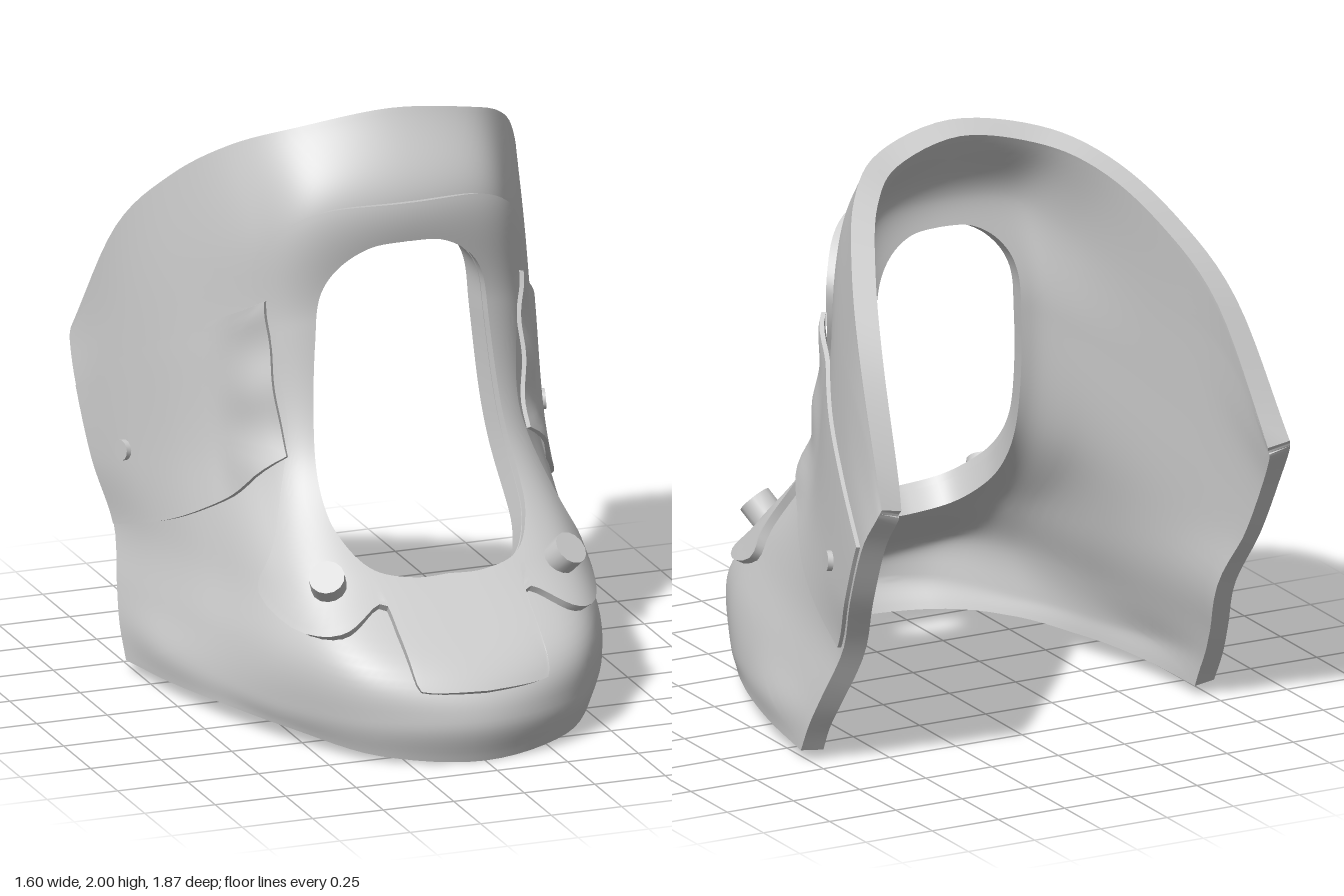
import * as THREE from 'three';
import { toCreasedNormals } from 'three/addons/utils/BufferGeometryUtils.js';

// Cross-sections of the collar from bottom edge to top edge,
// each running from the front centre line to the rear edge: [x, y, z]
const ROWS = [
  [[0, 0, .89], [.33, .02, .78], [.53, .05, .5], [.66, .06, .2], [.735, .05, -.1], [.78, .04, -.4]],
  [[0, .15, .93], [.36, .15, .8], [.57, .14, .47], [.68, .15, .15], [.75, .15, -.15], [.78, .15, -.46]],
  [[0, .3, .85], [.37, .32, .76], [.555, .32, .49], [.655, .3, .12], [.72, .28, -.22], [.765, .27, -.525]],
  [[0, .53, .53], [.36, .53, .5], [.52, .52, .34], [.62, .49, -.01], [.69, .47, -.33], [.74, .45, -.62]],
  [[0, .85, .2], [.34, .87, .18], [.5, .83, .02], [.62, .77, -.22], [.71, .7, -.48], [.775, .65, -.73]],
  [[0, 1.35, .1], [.32, 1.32, .08], [.48, 1.25, -.06], [.615, 1.15, -.3], [.715, 1.03, -.57], [.79, .87, -.84]],
  [[0, 1.72, .15], [.3, 1.7, .1], [.46, 1.6, -.06], [.6, 1.45, -.33], [.71, 1.25, -.61], [.78, .99, -.92]],
  [[0, 2, 0], [.3, 1.95, -.06], [.48, 1.86, -.22], [.61, 1.7, -.44], [.71, 1.46, -.68], [.77, 1.03, -.94]]
];

function cubic(a, b, c, d, t) {
  return b + .5 * t * (c - a + t * (2 * a - 5 * b + 4 * c - d + t * (3 * (b - c) + d - a)));
}

// Smooth interpolation of a list of points; the front end may be mirrored in x
function along(points, u, mirrored) {
  const n = points.length - 1;
  const i = THREE.MathUtils.clamp(Math.floor(u * n), 0, n - 1);
  const t = u * n - i, b = points[i], c = points[i + 1];
  const ghost = (p, q) => p.map((value, k) => 2 * value - q[k]);
  const a = i > 0 ? points[i - 1] : mirrored ? [-c[0], c[1], c[2]] : ghost(b, c);
  const d = i < n - 1 ? points[i + 2] : ghost(c, b);
  return b.map((_, k) => cubic(a[k], b[k], c[k], d[k], t));
}

// Collar surface: s from -1 to 1 around, v from 0 to 1 upward, raised along its normal
function surface(s, v) {
  const [x, y, z] = along(ROWS.map(row => along(row, Math.abs(s), true)), v, false);
  return new THREE.Vector3(s < 0 ? -x : x, y, z);
}

function normalAt(s, v) {
  const e = .004;
  const ds = surface(s + e, v).sub(surface(s - e, v));
  const dv = surface(s, v + e).sub(surface(s, v - e));
  return ds.cross(dv).normalize();
}

// Newton search for the (s, v) whose x (or z) and y match
function locate(axis, value, y) {
  let s = axis === 'x' ? value * .6 : .45 - value * .5, v = y * .45 + .05;
  const e = 1e-4;
  for (let i = 0; i < 25; i++) {
    const p = surface(s, v), ps = surface(s + e, v).sub(p), pv = surface(s, v + e).sub(p);
    const da = value - p[axis], dy = y - p.y;
    const det = (ps[axis] * pv.y - pv[axis] * ps.y) / e;
    if (Math.abs(det) < 1e-9) break;
    s = THREE.MathUtils.clamp(s + THREE.MathUtils.clamp((da * pv.y - pv[axis] * dy) / det, -.1, .1), 0, 1);
    v = THREE.MathUtils.clamp(v + THREE.MathUtils.clamp((ps[axis] * dy - da * ps.y) / det, -.1, .1), 0, 1);
  }
  return new THREE.Vector2(s, v);
}

// Closed slab lying on the surface between an inner and an outer loop
function slab(name, inner, outer, low, high, steps, material) {
  const n = inner.length, m = 2 * (steps + 1), positions = [], index = [];
  for (let i = 0; i < n; i++) {
    for (let j = 0; j < m; j++) {
      const top = j <= steps;
      const p = inner[i].clone().lerp(outer[i], (top ? j : m - 1 - j) / steps);
      const offset = (top ? high : low)(p.x, p.y);
      positions.push(...surface(p.x, p.y).addScaledVector(normalAt(p.x, p.y), offset));
      const i2 = (i + 1) % n, j2 = (j + 1) % m;
      const a = i * m + j, b = i2 * m + j, c = i2 * m + j2, d = i * m + j2;
      index.push(a, b, c, a, c, d);
    }
  }
  const geometry = new THREE.BufferGeometry();
  geometry.setAttribute('position', new THREE.Float32BufferAttribute(positions, 3));
  geometry.setIndex(index);
  const mesh = new THREE.Mesh(toCreasedNormals(geometry, .7), material);
  mesh.name = name;
  return mesh;
}

const HALF = 90;
const vec = (x, y) => new THREE.Vector2(x, y);
const mirrorLoop = half => [...half, ...half.slice(1, -1).reverse().map(p => vec(-p.x, p.y))];

// Symmetric loop on the surface from half an outline seen from the front
function frontLoop(points, grow = 0) {
  const curve = new THREE.SplineCurve(points.map(([x, y]) => vec(x * (1 + grow), y + (y - 1.06) * grow)));
  return mirrorLoop(curve.getSpacedPoints(HALF).map(p => locate('x', Math.max(p.x, 0), p.y)));
}

function polyLoop(corners, perSide) {
  return corners.flatMap((p, i) => Array.from({ length: perSide }, (_, k) =>
    p.clone().lerp(corners[(i + 1) % corners.length], k / perSide)));
}

// Stud standing on the surface
function stud(name, place, side, radius, height, base, material) {
  const s = place.x * side, normal = normalAt(s, place.y);
  const mesh = new THREE.Mesh(
    toCreasedNormals(new THREE.CylinderGeometry(radius, radius, height, 14), .6), material);
  mesh.name = name;
  mesh.position.copy(surface(s, place.y)).addScaledVector(normal, base + height / 2);
  mesh.quaternion.setFromUnitVectors(new THREE.Vector3(0, 1, 0), normal);
  return mesh;
}

export function createModel() {
  const model = new THREE.Group();
  model.name = 'neckCollar';
  const material = new THREE.MeshStandardMaterial({ color: 0xcccccc });

  const hole = [[0, 1.59], [.12, 1.58], [.22, 1.52], [.28, 1.42], [.3, 1.25], [.32, 1],
    [.34, .75], [.32, .64], [.25, .56], [.12, .53], [0, .53]];

  // Padded shell with the throat opening
  const rim = [];
  for (let i = 0; i <= HALF; i++) {
    const t = 3 * i / HALF;
    rim.push(t <= 1 ? vec(t, 1) : t <= 2 ? vec(1, 2 - t) : vec(3 - t, 0));
  }
  model.add(slab('shell', frontLoop(hole), mirrorLoop(rim), () => -.08, () => 0, 24, material));

  // Stiff front plate around the opening, with a chest tab and two ears
  const plate = [[0, 1.72], [.25, 1.71], [.38, 1.64], [.45, 1.52], [.45, 1.4], [.41, 1.2], [.39, 1],
    [.41, .86], [.48, .65], [.55, .5], [.55, .43], [.5, .39], [.4, .4], [.28, .465], [.24, .46],
    [.24, .41], [.23, .28], [.2, .25], [0, .24]];
  model.add(slab('frontPlate', frontLoop(hole, .006), frontLoop(plate), () => -.01, () => .028, 12, material));

  // Side straps, lifting over the plate at their front ends with slight creases
  const corners = [locate('x', .42, 1.39), locate('z', -.82, .87), locate('z', -.6, .45), locate('x', .4, .87)];
  const lift = (s, v) => {
    const front = 1 - THREE.MathUtils.smoothstep(Math.abs(s), .34, .5);
    return .014 + front * (.035 + .007 * Math.sin(v * 70));
  };
  const knobPlace = locate('x', .4, .52);
  const rivetPlace = locate('z', -.53, .73);
  for (const side of [1, -1]) {
    const prefix = side > 0 ? 'left' : 'right';
    let loop = polyLoop(corners, 20).map(p => vec(p.x * side, p.y));
    if (side < 0) loop.reverse();
    const centre = loop.reduce((sum, p) => sum.add(p), vec(0, 0)).divideScalar(loop.length);
    model.add(slab(prefix + 'Strap', loop.map(() => centre), loop,
      (s, v) => lift(s, v) - .016, lift, 12, material));
    model.add(stud(prefix + 'Knob', knobPlace, side, .06, .08, .015, material));
    model.add(stud(prefix + 'Rivet', rivetPlace, side, .035, .022, .01, material));
  }
  return model;
}
